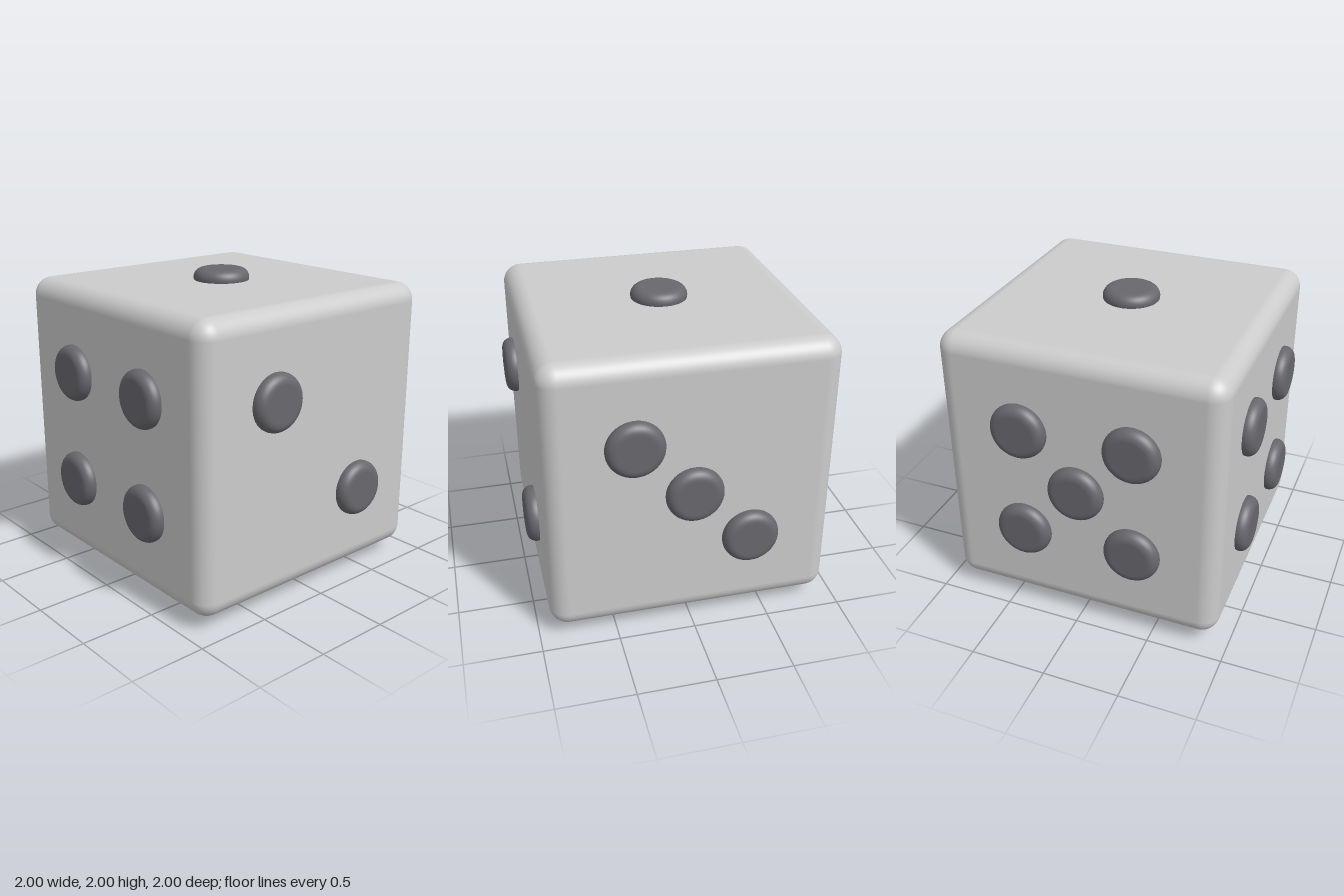
import * as THREE from 'three';
import { RoundedBoxGeometry } from 'three/addons/geometries/RoundedBoxGeometry.js';

const HALF = 0.925;  // half the cube's edge
const PIP_R = 0.185; // pip radius
const FILLET = 0.06; // rounding of the pip's rim
const S = 0.37;      // pip spacing from the face centre
const WIDE = 0.435;  // wider spacing of the six

// Button with a fully rounded rim, top 0.075 above the face at y = 0, base sunk in the cube
function pipGeometry() {
  const top = 1 - HALF;
  const pts = [];
  for (let i = 0; i <= 16; i++) {
    const a = (i / 16 - 0.5) * Math.PI;
    pts.push(new THREE.Vector2(PIP_R - FILLET + FILLET * Math.cos(a), top - FILLET + FILLET * Math.sin(a)));
  }
  pts.push(new THREE.Vector2(PIP_R - FILLET - 0.004, top), new THREE.Vector2(0, top));
  return new THREE.LatheGeometry(pts, 48);
}

export function createModel() {
  const model = new THREE.Group();
  model.name = 'die';
  const bodyMat = new THREE.MeshStandardMaterial({ color: 0xf8f8fa });
  const pipMat = new THREE.MeshStandardMaterial({ color: 0x68676d });

  // Cube with rounded edges
  const body = new THREE.Mesh(new RoundedBoxGeometry(HALF * 2, HALF * 2, HALF * 2, 6, 0.12), bodyMat);
  body.name = 'cubeBody';
  body.position.y = 1;
  model.add(body);

  // Pip positions relative to the cube's centre, on each face
  const signs = [-1, 1];
  const corners = signs.flatMap(a => signs.map(b => [a * S, b * S]));
  const faces = [
    { name: 'topPips', normal: [0, 1, 0], spots: [[0, 0, 0]] },
    { name: 'leftPips', normal: [1, 0, 0], spots: [[0, S, S], [0, -S, -S]] },
    { name: 'backPips', normal: [0, 0, -1], spots: [[S, S, 0], [0, 0, 0], [-S, -S, 0]] },
    { name: 'frontPips', normal: [0, 0, 1], spots: corners.map(([a, b]) => [a, b, 0]) },
    { name: 'rightPips', normal: [-1, 0, 0], spots: [...corners, [0, 0]].map(([a, b]) => [0, a, b]) },
    { name: 'bottomPips', normal: [0, -1, 0], spots: [-WIDE, 0, WIDE].flatMap(x => signs.map(s => [x, 0, s * S])) },
  ];

  const geo = pipGeometry();
  const up = new THREE.Vector3(0, 1, 0);
  for (const { name, normal, spots } of faces) {
    const group = new THREE.Group();
    group.name = name;
    group.position.y = 1;
    const n = new THREE.Vector3(...normal);
    for (const spot of spots) {
      const pip = new THREE.Mesh(geo, pipMat);
      pip.name = 'pip';
      pip.position.set(...spot).addScaledVector(n, HALF);
      pip.quaternion.setFromUnitVectors(up, n);
      group.add(pip);
    }
    model.add(group);
  }
  return model;
}
